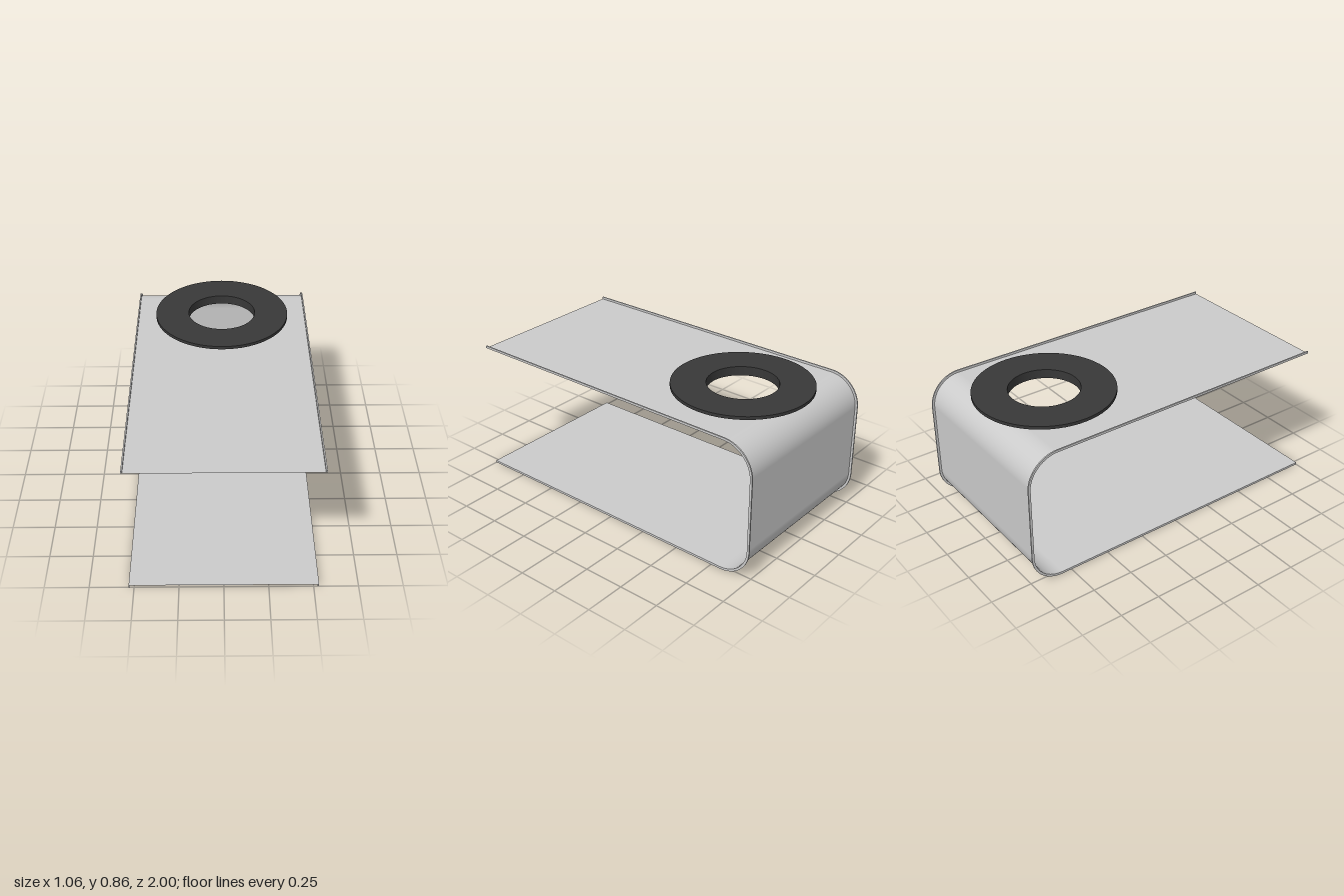
import * as THREE from 'three';
import { toCreasedNormals } from 'three/addons/utils/BufferGeometryUtils.js';

const HALF = 0.53;        // half width of the sheet
const LIP = 0.008;        // lip width
const RISE = 0.014;       // how far the lip stands out from the sheet
const BEND_Z = -0.81, LOW = 0.19, HIGH = 0.636, RADIUS = 0.176;
const HOLE_Z = -0.55, HOLE_R = 0.21;

// Side outline of the folded sheet as [z, y] points, offset outward by d
function sidePath(d, withTop) {
  const r = RADIUS + d, n = 20, pts = [[1, LOW - r]];
  for (const [cy, start] of [[LOW, -Math.PI / 2], [HIGH, 0]]) {
    for (let i = 0; i <= n; i++) {
      const a = start + (i / n) * Math.PI / 2;
      pts.push([BEND_Z - r * Math.cos(a), cy + r * Math.sin(a)]);
    }
  }
  if (withTop) pts.push([1, HIGH + r]);
  return pts;
}

export function createModel() {
  const group = new THREE.Group();
  const grey = new THREE.MeshStandardMaterial({ color: 0xcccccc, side: THREE.DoubleSide });
  const dark = new THREE.MeshStandardMaterial({ color: 0x383838 });
  const add = (name, geometry, material) => {
    const mesh = new THREE.Mesh(geometry, material);
    mesh.name = name;
    group.add(mesh);
    return mesh;
  };

  // Bottom, back wall and both bends: one strip laid along the side outline
  const path = sidePath(0, false);
  const strip = new THREE.PlaneGeometry(2 * HALF - LIP, 1, 1, path.length - 1);
  const { position, normal } = strip.attributes;
  path.forEach(([z, y], row) => {
    const cy = THREE.MathUtils.clamp(y, LOW, HIGH);
    const nz = row === 0 ? 0 : (z - BEND_Z) / RADIUS;
    const ny = row === 0 ? -1 : (y - cy) / RADIUS;
    for (const side of [0, 1]) {
      const i = row * 2 + side;
      position.setXYZ(i, position.getX(i), y, z);
      normal.setXYZ(i, 0, ny, nz);
    }
  });
  add('foldedSheet', strip, grey);

  // Top panel with the round opening
  const w = HALF - LIP / 2;
  const panel = new THREE.Shape([[-w, -1], [w, -1], [w, -BEND_Z], [-w, -BEND_Z]]
    .map(([x, y]) => new THREE.Vector2(x, y)));
  panel.holes.push(new THREE.Path().absarc(0, -HOLE_Z, HOLE_R, 0, Math.PI * 2, true));
  const top = add('topPanel', new THREE.ShapeGeometry(panel, 48), grey);
  top.rotation.x = -Math.PI / 2;
  top.position.y = HIGH + RADIUS;

  // Raised lips following both side edges
  const outline = [...sidePath(RISE, true), ...sidePath(0, true).reverse()]
    .map(([z, y]) => new THREE.Vector2(-z, y));
  const lip = toCreasedNormals(new THREE.ExtrudeGeometry(new THREE.Shape(outline),
    { depth: LIP, bevelEnabled: false }), 0.5);
  lip.rotateY(Math.PI / 2);
  add('leftLip', lip, grey).position.x = HALF - LIP;
  add('rightLip', lip, grey).position.x = -HALF;

  // Collar through the opening: lower flange, neck and wide upper ring
  const profile = [[0.207, 0.805], [0.24, 0.805], [0.24, 0.811], [0.213, 0.811],
    [0.213, 0.842], [0.411, 0.842], [0.411, 0.861], [0.207, 0.861], [0.207, 0.805]]
    .map(([r, y]) => new THREE.Vector2(r, y));
  const collar = toCreasedNormals(new THREE.LatheGeometry(profile, 64), 0.5);
  add('collar', collar, dark).position.z = HOLE_Z;

  return group;
}
